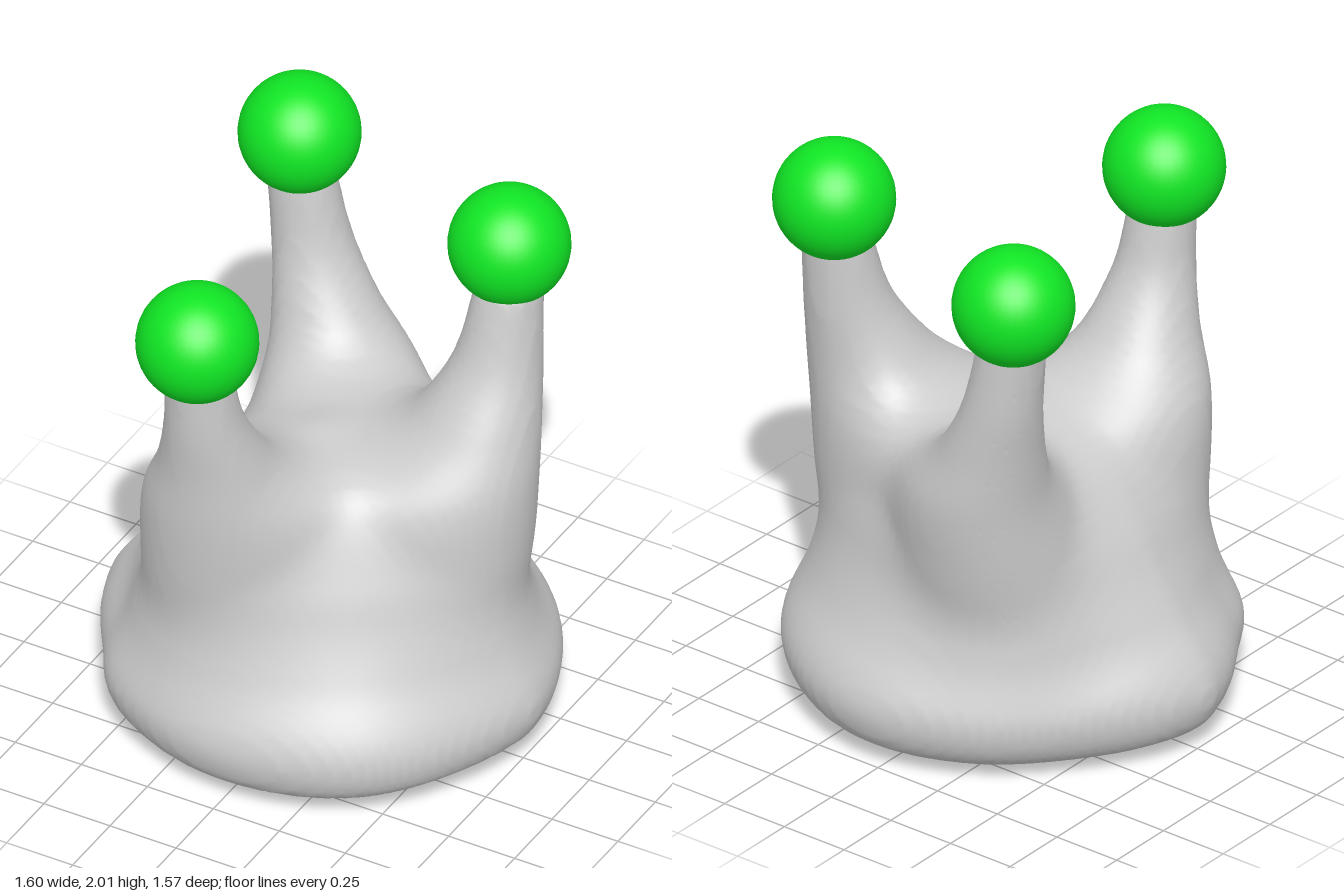
import * as THREE from 'three';

// Smooth interpolation through rows of [key, value, value...]
function sample(rows, t) {
  const n = rows.length;
  let i = 0;
  while (i < n - 2 && t > rows[i + 1][0]) i++;
  const a = rows[i], b = rows[i + 1], h = b[0] - a[0], u = (t - a[0]) / h;
  const slope = (p, q, k) => (q[k] - p[k]) / (q[0] - p[0]);
  return a.slice(1).map((_, j) => {
    const k = j + 1;
    if (u < 0 || u > 1) return a[k] + (b[k] - a[k]) * u;
    const m0 = slope(rows[Math.max(i - 1, 0)], b, k) * h;
    const m1 = slope(a, rows[Math.min(i + 2, n - 1)], k) * h;
    const u2 = u * u, u3 = u2 * u;
    return a[k] * (2 * u3 - 3 * u2 + 1) + m0 * (u3 - 2 * u2 + u) + b[k] * (3 * u2 - 2 * u3) + m1 * (u3 - u2);
  });
}

// Blended minimum, gives the soft webs between roots
function blend(a, b, k) {
  const h = Math.max(k - Math.abs(a - b), 0) / k;
  return Math.min(a, b) - h * h * k * 0.25;
}

// Root sections: [height, centre x, centre z, radius]
const ROOTS = [
  [[0.5, -0.2, -0.33, 0.265], [0.75, -0.2, -0.4, 0.255], [1.0, -0.215, -0.46, 0.23],
    [1.2, -0.285, -0.5, 0.175], [1.4, -0.35, -0.53, 0.135], [1.65, -0.395, -0.535, 0.115]],
  [[0.5, 0.36, -0.08, 0.305], [0.75, 0.4, -0.1, 0.295], [1.0, 0.43, -0.125, 0.272],
    [1.2, 0.48, -0.19, 0.205], [1.4, 0.51, -0.26, 0.148], [1.65, 0.525, -0.305, 0.115]],
  [[0.5, -0.18, 0.28, 0.3], [0.75, -0.18, 0.32, 0.295], [1.0, -0.175, 0.37, 0.27],
    [1.2, -0.16, 0.46, 0.19], [1.4, -0.155, 0.535, 0.135], [1.6, -0.16, 0.565, 0.115]],
];

// Crown outline: [angle in degrees, radius], and its scale by height
const OUTLINE = [[0, 0.8], [23, 0.765], [51, 0.76], [80, 0.735], [114, 0.735], [134, 0.75], [150, 0.735], [171, 0.78],
  [180, 0.8], [216, 0.73], [248, 0.755], [274, 0.79], [306, 0.785], [333, 0.785], [360, 0.8]];
const CROWN = [[0, 0.78], [0.04, 0.88], [0.09, 0.96], [0.2, 1], [0.3, 0.96], [0.45, 0.82], [0.6, 0.69],
  [0.75, 0.57], [0.9, 0.39], [1.0, 0.2], [1.06, 0.0], [1.3, -0.9]];

// Horizontal slice of the tooth at height y, as a signed field over x and z
function slice(y) {
  const roots = ROOTS.map((r) => sample(r, Math.max(y, 0.5)));
  const scale = sample(CROWN, Math.max(y, 0))[0];
  const rootFade = 1.5 * Math.max(0, 0.5 - y) ** 2;
  return (x, z) => {
    const rho = Math.hypot(x, z);
    const angle = (THREE.MathUtils.radToDeg(Math.atan2(z, x)) + 360) % 360;
    const crown = rho - sample(OUTLINE, angle)[0] * scale;
    const legs = roots.map(([cx, cz, r]) => Math.hypot(x - cx, z - cz) - r + rootFade).sort((a, b) => a - b);
    let d = blend(crown, blend(blend(legs[0], legs[1], 0.62), legs[2], 0.62), 0.18);
    // Shallow hollow on the undulating chewing surface
    const hollow = 0.06 * Math.max(0, 1 - (rho / 0.58) ** 2);
    const floor = 0.01 + 0.03 * x + 0.02 * z + 0.08 * x * x + 0.01 * Math.sin(5 * x) + hollow;
    d = -blend(-d, y - floor, 0.05);
    return Math.max(d, y - 1.69);
  };
}

// Skin the field with quads, one vertex per crossed cell
function skin() {
  const step = 0.03, N = [60, 62, 60], origin = [-0.885, -0.075, -0.885];
  const stride = [1, N[0], N[0] * N[1]];
  const field = new Float32Array(N[0] * N[1] * N[2]);
  for (let j = 0; j < N[1]; j++) {
    const f = slice(origin[1] + j * step);
    for (let k = 0; k < N[2]; k++) {
      for (let i = 0; i < N[0]; i++) {
        field[i + j * stride[1] + k * stride[2]] = f(origin[0] + i * step, origin[2] + k * step);
      }
    }
  }
  const positions = [], indices = [], vertexOf = new Map();
  const eachCell = (start, fn) => {
    for (let k = start; k < N[2] - 1; k++)
      for (let j = start; j < N[1] - 1; j++)
        for (let i = start; i < N[0] - 1; i++) fn([i, j, k], i + j * stride[1] + k * stride[2]);
  };
  eachCell(0, (cell, id) => {
    const sum = [0, 0, 0];
    let count = 0;
    for (let c = 0; c < 8; c++) {
      const bits = [c & 1, (c >> 1) & 1, (c >> 2) & 1];
      const p = id + bits[0] * stride[0] + bits[1] * stride[1] + bits[2] * stride[2];
      for (let a = 0; a < 3; a++) {
        if (bits[a]) continue;
        const d0 = field[p], d1 = field[p + stride[a]];
        if ((d0 < 0) === (d1 < 0)) continue;
        for (let m = 0; m < 3; m++) sum[m] += bits[m] + (m === a ? d0 / (d0 - d1) : 0);
        count++;
      }
    }
    if (!count) return;
    vertexOf.set(id, positions.length / 3);
    for (let m = 0; m < 3; m++) positions.push(origin[m] + (cell[m] + sum[m] / count) * step);
  });
  eachCell(1, (cell, id) => {
    for (let a = 0; a < 3; a++) {
      const inside = field[id] < 0;
      if (inside === (field[id + stride[a]] < 0)) continue;
      const b = stride[(a + 1) % 3], c = stride[(a + 2) % 3];
      const q = [id - b - c, id - c, id, id - b].map((v) => vertexOf.get(v));
      if (!inside) q.reverse();
      indices.push(q[0], q[1], q[2], q[0], q[2], q[3]);
    }
  });
  const geometry = new THREE.BufferGeometry();
  geometry.setAttribute('position', new THREE.Float32BufferAttribute(positions, 3));
  geometry.setIndex(indices);
  geometry.computeVertexNormals();
  return geometry;
}

export function createModel() {
  const group = new THREE.Group();
  group.name = 'tooth';
  const enamel = new THREE.MeshStandardMaterial({ color: 0xcccccc });
  enamel.name = 'light grey';
  const green = new THREE.MeshStandardMaterial({ color: 0x10e624 });
  green.name = 'bright green';

  // Crown and three roots in one skin
  const body = new THREE.Mesh(skin(), enamel);
  body.name = 'crownAndRoots';
  group.add(body);

  // Ball on each root tip
  const ball = new THREE.SphereGeometry(0.205, 40, 28);
  [['backRight', -0.403, 1.795, -0.54], ['backLeft', 0.505, 1.795, -0.34], ['front', -0.158, 1.74, 0.578]]
    .forEach(([name, x, y, z]) => {
      const mesh = new THREE.Mesh(ball, green);
      mesh.name = name + 'RootBall';
      mesh.position.set(x, y, z);
      group.add(mesh);
    });
  return group;
}
